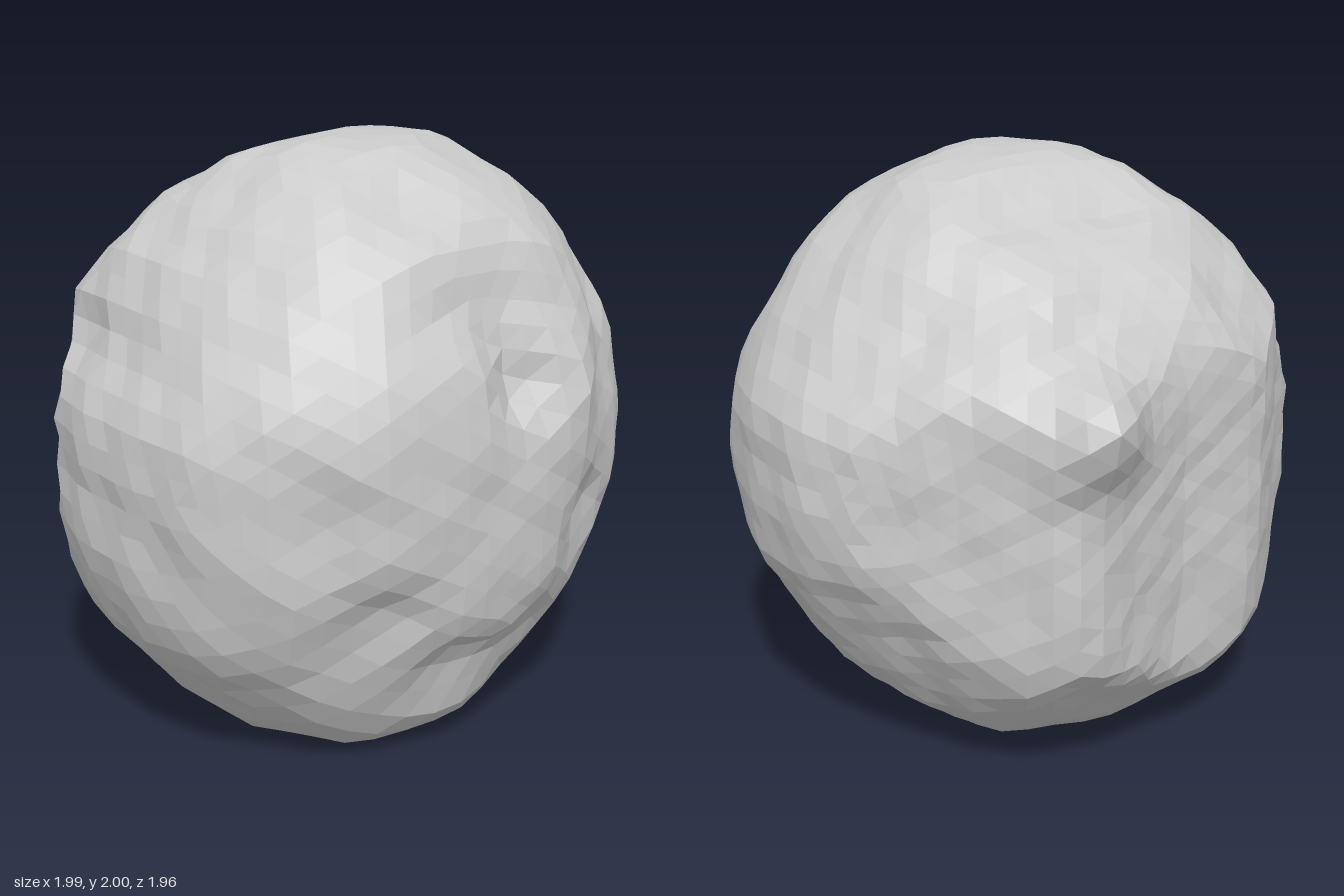
import * as THREE from 'three';

// Outlines of the boulder as [horizontal, vertical] points around its centre, without the horn.
const FRONT = [[-.2, 1.02], [-.32, .98], [-.55, .82], [-.72, .67], [-.81, .52], [-.84, .4], [-.98, .17], [-1.01, 0],
  [-1.01, -.3], [-.98, -.53], [-.86, -.69], [-.63, -.91], [-.54, -.98], [-.33, -1.01], [.05, -1.01], [.36, -.98],
  [.51, -.87], [.67, -.79], [.81, -.64], [.98, -.34], [1.01, 0], [1.01, .18], [.98, .34], [.9, .43], [.71, .66],
  [.53, .83], [.36, .99], [.05, 1.02]];
const SIDE = [[.99, -.35], [.99, .15], [.94, .37], [.81, .55], [.78, .71], [.71, .81], [.5, .94], [.35, 1.02],
  [.15, 1.02], [0, .98], [-.2, .84], [-.35, .8], [-.5, .71], [-.6, .59], [-.72, .42], [-.81, .18], [-.85, -.1],
  [-.85, -.35], [-.83, -.52], [-.61, -.76], [-.45, -.93], [-.37, -.98], [-.2, -1.01], [.54, -1.01], [.71, -.97],
  [.79, -.89], [.81, -.71], [.86, -.6], [.96, -.53]];
const TOP = [[-1.01, 0], [-1.01, .2], [-.98, .47], [-.91, .63], [-.71, .81], [-.54, .94], [-.37, .98], [.2, .98],
  [.35, .96], [.56, .82], [.71, .78], [.91, .62], [.99, .45], [1.01, .2], [1.01, -.05], [.98, -.2], [.88, -.35],
  [.71, -.51], [.54, -.66], [.45, -.75], [.36, -.85], [.22, -.85], [.08, -.78], [-.18, -.68], [-.35, -.66],
  [-.53, -.63], [-.71, -.48], [-.81, -.36], [-.94, -.25]];

// Swellings and flattenings of the rounded body: x, y, z, height, width.
const SWELLS = [[-.15, -.9, .62, .14, .4], [-.4, -.97, .2, .08, .35], [0, .8, .65, .06, .4], [-.7, .03, .7, .07, .45],
  [.45, .72, -.5, -.13, .45], [.75, .5, -.25, -.09, .35], [-.3, .85, -.35, -.06, .4], [.8, -.43, -.43, -.12, .42],
  [-.73, .52, .31, -.05, .35], [-.8, -.52, .4, .07, .35], [-.5, .55, -.6, -.14, .4]];

// Local hollows (negative) and bumps (positive).
const DETAILS = [
  [.27, .38, -.93, .235, .17], // horn at the back
  [.1, .3, .95, -.1, .12], [.05, .45, .9, -.05, .12], [.35, .2, .93, .02, .09], // pit and knob in front
  [.62, .45, .62, -.06, .15], [.6, .2, .75, -.03, .15], // vertical groove
  [-.6, -.05, .8, -.05, .14], [-.42, -.4, .82, -.07, .16], [-.15, -.68, .75, -.025, .16], // crescent under the brow
  [.2, -.58, .8, -.03, .15], [.43, -.25, .87, -.06, .15],
  [.8, -.35, .55, -.03, .14], [.85, -.5, .2, -.03, .16], // side ledge
  [-.85, -.25, .42, -.03, .14], [-.86, .36, -.24, -.05, .14], // hollows on the other side
  [-.15, .8, .58, -.04, .16], [.3, .85, .4, -.03, .15]]; // dips below the crown

// Distance from the centre to an outline along (a, b).
function reach(outline, a, b) {
  let best = 0;
  outline.forEach(([px, py], i) => {
    const [qx, qy] = outline[(i + 1) % outline.length];
    const ex = qx - px, ey = qy - py;
    const den = a * ey - b * ex;
    if (Math.abs(den) < 1e-9) return;
    const t = (px * ey - py * ex) / den;
    const s = (px * b - py * a) / den;
    if (t > 0 && s >= -1e-6 && s <= 1 + 1e-6) best = Math.max(best, t);
  });
  return best || 9;
}

const centre = new THREE.Vector3();
function blobs(list, d) {
  return list.reduce((sum, [x, y, z, height, width]) => {
    centre.set(x, y, z).normalize();
    return sum + height * Math.exp(-centre.distanceToSquared(d) / (width * width));
  }, 0);
}

// Soft minimum of the three outlines and a swelling sphere, plus details.
function radius(d) {
  const limits = [reach(FRONT, d.x, d.y), reach(SIDE, d.z, d.y), reach(TOP, d.x, d.z), 1.04 + blobs(SWELLS, d)];
  const soft = Math.pow(limits.reduce((sum, r) => sum + Math.pow(r, -45), 0), -1 / 45);
  const grain = .007 * Math.sin(17 * d.x + 5 * d.y) * Math.sin(19 * d.y + 3 * d.z) + .005 * Math.sin(23 * d.z + 11 * d.x);
  return soft + blobs(DETAILS, d) + grain;
}

export function createModel() {
  const geometry = new THREE.IcosahedronGeometry(1, 11);
  const pos = geometry.attributes.position;
  const d = new THREE.Vector3();
  for (let i = 0; i < pos.count; i++) {
    d.fromBufferAttribute(pos, i).normalize();
    d.multiplyScalar(radius(d));
    // The base is worn flat where it meets the ground.
    pos.setXYZ(i, d.x, Math.max(d.y + 1, 0), d.z);
  }
  geometry.computeVertexNormals();

  const boulder = new THREE.Mesh(geometry, new THREE.MeshStandardMaterial({ color: 0xcccccc, flatShading: true }));
  boulder.name = 'boulder';
  const group = new THREE.Group();
  group.name = 'rock';
  group.add(boulder);
  return group;
}
